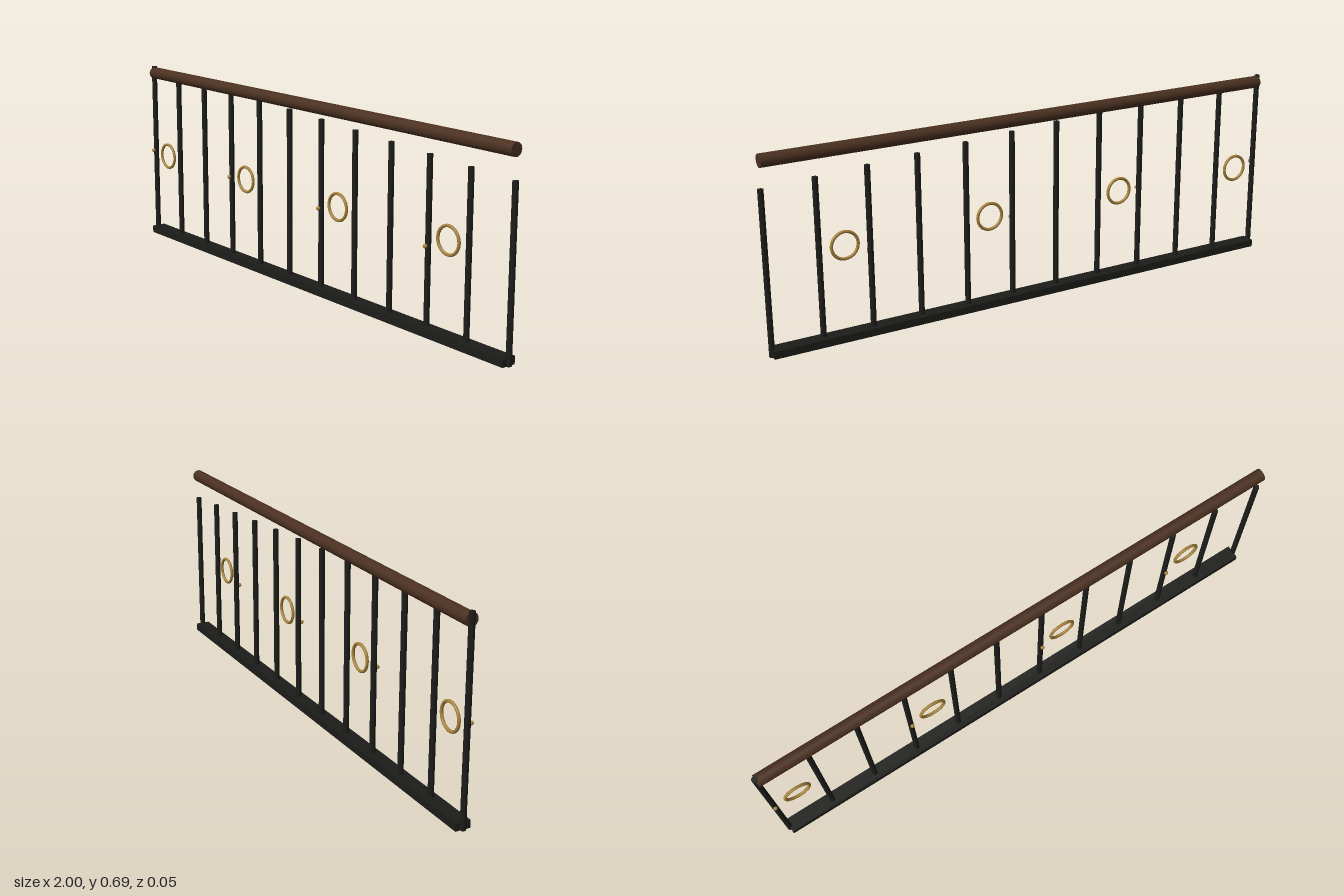
import * as THREE from 'three';

export function createModel() {
  const railing = new THREE.Group();
  railing.name = 'railing';

  const iron = new THREE.MeshStandardMaterial({ color: 0x1c1c1a });
  const wood = new THREE.MeshStandardMaterial({ color: 0x4a3020 });
  const brass = new THREE.MeshStandardMaterial({ color: 0xa8843c });

  const add = (name, geometry, material, x, y, z) => {
    const mesh = new THREE.Mesh(geometry, material);
    mesh.name = name;
    mesh.position.set(x, y, z);
    railing.add(mesh);
    return mesh;
  };

  const length = 1.98;
  const count = 12;
  const step = length / (count - 1);

  // Base rail and round wooden handrail
  add('baseRail', new THREE.BoxGeometry(length, 0.027, 0.053), iron, 0, 0.0135, 0);
  add('handrail', new THREE.CylinderGeometry(0.0225, 0.0225, length, 24), wood, 0, 0.662, 0)
    .rotation.z = Math.PI / 2;

  const ringGeometry = new THREE.TorusGeometry(0.047, 0.0055, 10, 32);
  const beadGeometry = new THREE.SphereGeometry(0.0075, 16, 12);

  // Balusters shorten steadily towards +x
  for (let i = 0; i < count; i++) {
    const x = -length / 2 + i * step;
    const height = 0.688 - i * 0.0107;
    add('baluster', new THREE.CylinderGeometry(0.01, 0.01, height, 12), iron, x, height / 2, 0);

    // Every third bay has a brass ring, with a bead halfway up its baluster
    if (i % 3 === 0) {
      add('bead', beadGeometry, brass, x, height / 2, 0.013);
      add('ring', ringGeometry, brass, x + step / 2, 0.332, 0);
    }
  }

  return railing;
}
